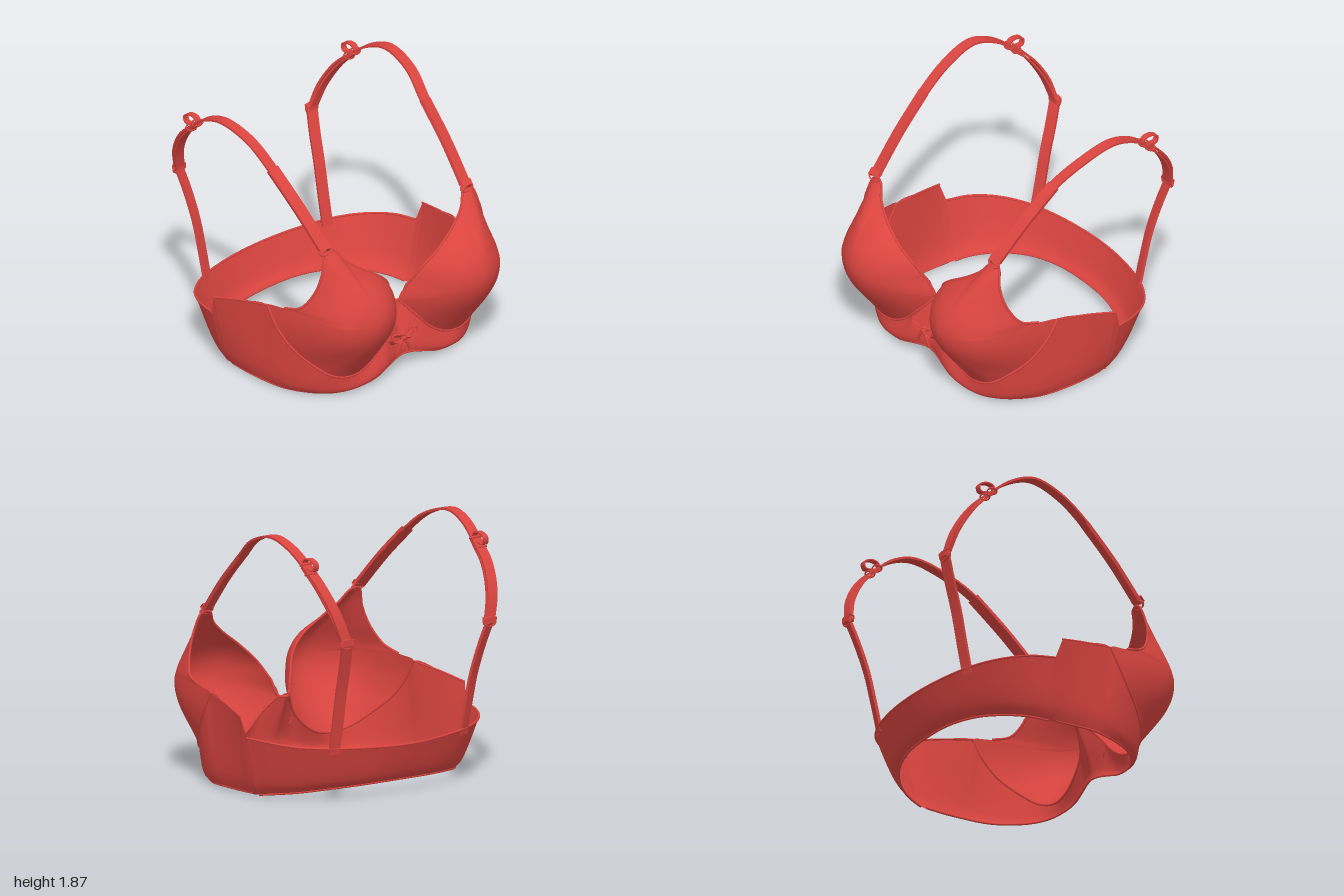
import * as THREE from 'three';
import { toCreasedNormals } from 'three/addons/utils/BufferGeometryUtils.js';

const red = new THREE.MeshStandardMaterial({ color: 0xd9443f, side: THREE.DoubleSide });
const V = (x, y, z) => new THREE.Vector3(x, y, z);
const lerp = THREE.MathUtils.lerp;
const spline = (pts, closed = false) => new THREE.CatmullRomCurve3(pts.map(p => V(p[0], p[1], p[2])), closed);

function part(name, geometry, parent) {
  const mesh = new THREE.Mesh(geometry, red);
  mesh.name = name;
  parent.add(mesh);
  return mesh;
}

// Surface through equally long rows of points
function skin(rows) {
  const n = rows[0].length, pos = [], idx = [];
  rows.forEach(r => r.forEach(p => pos.push(p.x, p.y, p.z)));
  for (let i = 0; i < rows.length - 1; i++) {
    for (let j = 0; j < n - 1; j++) {
      const a = i * n + j, b = a + n;
      idx.push(a, b, a + 1, b, b + 1, a + 1);
    }
  }
  const g = new THREE.BufferGeometry();
  g.setAttribute('position', new THREE.Float32BufferAttribute(pos, 3));
  g.setIndex(idx);
  g.computeVertexNormals();
  return g;
}

// Flat strip of fabric along a path; 'across' is the direction of its width
function ribbon(pts, width, thick, across = V(1, 0, 0), closed = false, steps = 40) {
  const curve = spline(pts, closed), rows = [];
  for (let i = 0; i <= steps; i++) {
    const p = curve.getPoint(i / steps), t = curve.getTangent(i / steps);
    const w = across.clone().addScaledVector(t, -across.dot(t)).normalize();
    const n = t.clone().cross(w);
    rows.push([[1, 1], [-1, 1], [-1, -1], [1, -1], [1, 1]].map(([a, b]) =>
      p.clone().addScaledVector(w, a * width / 2).addScaledVector(n, b * thick / 2)));
  }
  return toCreasedNormals(skin(rows), 0.8);
}

const cord = (pts, r, closed = false, steps = 60) =>
  new THREE.TubeGeometry(spline(pts, closed), steps, r, 8, closed);

// Wire line under the cup, from the centre round to the underarm: x, y, z, fullness
const wire = [
  [0.045, 0.49, 0.575, 2.2], [0.14, 0.36, 0.66, 2.2], [0.25, 0.24, 0.68, 2.1], [0.38, 0.16, 0.69, 2],
  [0.53, 0.14, 0.69, 2], [0.67, 0.18, 0.65, 2.2], [0.78, 0.28, 0.55, 2.6], [0.86, 0.40, 0.43, 3.2],
  [0.90, 0.55, 0.32, 3.7], [0.905, 0.67, 0.25, 4]];
// Armhole up to the strap point, then down the neckline
const armhole = [
  [0.885, 0.70, 0.40, 3.6], [0.86, 0.75, 0.54, 3], [0.80, 0.88, 0.62, 2.4], [0.75, 1.02, 0.64, 2.1],
  [0.70, 1.16, 0.61, 1.9]];
const neckline = [
  [0.63, 1.16, 0.61, 1.9], [0.56, 1.07, 0.66, 1.9], [0.45, 0.98, 0.70, 2], [0.28, 0.86, 0.72, 2],
  [0.16, 0.74, 0.68, 2.1], [0.09, 0.61, 0.61, 2.2]];
const outline = [...wire, ...armhole, ...neckline];

// Dome that is round at its crown and spreads into the outline
function cupGeometry() {
  const c = V(0.49, 0.64, 0.98), rows = [], nT = 126, nS = 24;
  const edge = spline(outline, true), fullness = spline(outline.map((p, i) => [p[3], i * 0.01, 0]), true);
  for (let i = 0; i <= nT; i++) {
    const d = edge.getPoint(i / nT).sub(c), power = fullness.getPoint(i / nT).x;
    const reach = Math.hypot(d.x, d.y), row = [];
    for (let j = 0; j <= nS; j++) {
      const s = Math.sin((j / nS) * Math.PI / 2);
      const r = s * lerp(0.43, reach, s * s) / reach;
      const depth = lerp(-0.36 * s * s, d.z * Math.pow(s, power), s * s);
      row.push(V(c.x + d.x * r, c.y + d.y * r, c.z + depth));
    }
    rows.push(row);
  }
  return skin(rows);
}

// Lower edge of the front band, matching the wire points, then the side wing
const frontLow = [
  [0.07, 0.096, 0.67], [0.18, 0.07, 0.69], [0.28, 0.04, 0.70], [0.40, 0.02, 0.69], [0.54, 0.005, 0.65],
  [0.66, 0, 0.57], [0.75, 0, 0.46], [0.81, 0, 0.34], [0.84, 0.005, 0.24], [0.855, 0.01, 0.16],
  [0.86, 0.01, 0], [0.85, 0.01, -0.17]];
const frontTop = [...wire, [0.955, 0.63, 0], [1.0, 0.585, -0.205]];
// Back band from beside the middle out to the step
const backLow = [[0.28, 0.09, -0.68], [0.52, 0.075, -0.60], [0.70, 0.05, -0.47], [0.80, 0.03, -0.33], [0.84, 0.013, -0.22]];
const backTop = [[0.35, 0.38, -0.805], [0.65, 0.395, -0.71], [0.83, 0.41, -0.58], [0.93, 0.43, -0.42], [0.975, 0.44, -0.25]];

const flip = p => [-p[0], p[1], p[2]];
const symmetric = (half, mid) => [...half.map(flip).reverse(), mid, ...half];

// Strip of band between a lower and an upper edge, slightly rounded outward
function bandGeometry(low, top, steps) {
  const a = spline(low), b = spline(top), rows = [];
  for (let i = 0; i <= steps; i++) {
    const p = a.getPoint(i / steps), q = b.getPoint(i / steps), row = [];
    const out = V(p.x, 0, p.z).normalize();
    for (let j = 0; j <= 10; j++) {
      const v = j / 10;
      row.push(p.clone().lerp(q, v).addScaledVector(out, 0.025 * Math.sin(Math.PI * Math.sqrt(v))));
    }
    rows.push(row);
  }
  return skin(rows);
}

// Oval ring, wide in x, tilted about x
function ring(name, parent, x, y, z, rx, ry, tilt) {
  const m = part(name, new THREE.TorusGeometry(1, 0.16, 8, 28), parent);
  m.scale.set(rx, ry, 0.05);
  m.position.set(x, y, z);
  m.rotation.x = tilt;
}

// Cup, seams, strap and fittings of one side; 'fx' is where the strap meets the cup
function sidePieces(fx) {
  const g = new THREE.Group(), outward = V(1, -0.25, 0), backward = V(1, 0, 0.3);
  const mx = fx + 0.055;
  part('cup', cupGeometry(), g);
  part('cupEdge', cord([...armhole, ...neckline], 0.009, false, 100), g);
  part('underwireChannel', cord(wire, 0.01), g);
  part('wingTopEdge', cord(frontTop.slice(9).map(p => [p[0] - 0.005, p[1], p[2]]), 0.007), g);
  part('wingStep', bandGeometry([frontLow[11], backLow[4]], [frontTop[11], backTop[4]], 4), g);

  // Strap in overlapping lengths
  part('frontStrap', ribbon([[fx, 1.19, 0.60], [fx + 0.03, 1.435, 0.37], [mx, 1.655, 0.13]], 0.088, 0.028, outward), g);
  part('shoulderStrap', ribbon([[fx + 0.03, 1.435, 0.37], [mx, 1.655, 0.13], [0.765, 1.80, -0.08], [0.785, 1.865, -0.32],
    [0.775, 1.81, -0.50], [0.755, 1.70, -0.65], [0.735, 1.56, -0.80], [0.69, 1.37, -0.91], [0.635, 1.18, -0.95]], 0.08, 0.016), g);
  part('strapTurnback', ribbon([[0.755, 1.70, -0.63], [0.735, 1.55, -0.78], [0.69, 1.36, -0.89], [0.635, 1.18, -0.94]], 0.078, 0.014), g);
  part('backStrap', ribbon([[0.635, 1.18, -0.95], [0.61, 1.02, -0.895], [0.59, 0.80, -0.825], [0.58, 0.58, -0.775],
    [0.575, 0.35, -0.725]], 0.08, 0.022, backward), g);

  // Fittings
  ring('frontRing', g, fx, 1.17, 0.615, 0.052, 0.028, -0.6);
  part('frontStrapFold', ribbon([[fx - 0.04, 1.195, 0.61], [fx, 1.20, 0.605], [fx + 0.04, 1.195, 0.61]], 0.05, 0.04, V(0, 0.6, -0.7)), g);
  ring('backRing', g, 0.635, 1.18, -0.95, 0.052, 0.035, 0.1);
  part('backStrapFold', ribbon([[0.59, 1.19, -0.95], [0.635, 1.195, -0.95], [0.68, 1.19, -0.95]], 0.045, 0.045, V(0, 1, 0)), g);
  for (const d of [0, 0.06]) ring('slider', g, 0.755, 1.715 - d, -0.635 - d, 0.044, 0.03, -1.2);
  part('sliderLoop', ribbon([[0.755, 1.70, -0.62], [0.755, 1.75, -0.64], [0.755, 1.76, -0.69], [0.755, 1.73, -0.75],
    [0.755, 1.685, -0.74], [0.755, 1.69, -0.67]], 0.045, 0.01, V(1, 0, 0), true), g);
  return g;
}

function bow() {
  const g = new THREE.Group(), slant = V(0, 0.6, 0.8);
  g.name = 'bow';
  for (const s of [-1, 1]) {
    part('bowLoop', ribbon([[0, 0, 0], [0.05 * s, 0.03, 0.01], [0.105 * s, 0.04, 0], [0.115 * s, 0.01, -0.005],
      [0.09 * s, -0.02, 0], [0.045 * s, -0.015, 0.01]], 0.05, 0.01, slant, true), g);
    part('bowTail', ribbon([[0, -0.01, 0.01], [0.03 * s, -0.05, 0.01], [0.06 * s, -0.115, 0.005]], 0.02, 0.01), g);
  }
  part('bowKnot', new THREE.SphereGeometry(0.027, 16, 12), g);
  g.position.set(-0.03, 0.27, 0.7);
  return g;
}

export function createModel() {
  const model = new THREE.Group();
  model.name = 'bra';

  const left = sidePieces(0.655), right = sidePieces(0.695);
  left.name = 'leftSide';
  right.name = 'rightSide';
  right.scale.x = -1;
  model.add(left, right);

  // Bands run through the middle in one piece
  const low = symmetric(frontLow, [0, 0.10, 0.66]), top = symmetric(frontTop, [0, 0.485, 0.54]);
  const bLow = symmetric(backLow, [0, 0.095, -0.70]), bTop = symmetric(backTop, [0, 0.37, -0.845]);
  part('frontBand', bandGeometry(low, top, 138), model);
  part('backBand', bandGeometry(bLow, bTop, 60), model);
  part('frontBandHem', cord(low.map(p => [p[0], p[1] + 0.008, p[2]]), 0.008, false, 120), model);
  part('backBandHem', cord(bLow, 0.008), model);
  part('backBandTopEdge', cord(bTop, 0.008), model);

  // Centre edge with its small stitched tuft
  part('centreEdge', cord(symmetric([wire[0], neckline[5]], [0, 0.485, 0.54]), 0.011), model);
  for (const x of [-0.025, -0.01, 0.005]) {
    part('centreStitch', cord([[x, 0.50, 0.545], [x, 0.49, 0.57], [x * 1.3, 0.45, 0.585]], 0.006, false, 12), model);
  }
  model.add(bow());
  return model;
}
